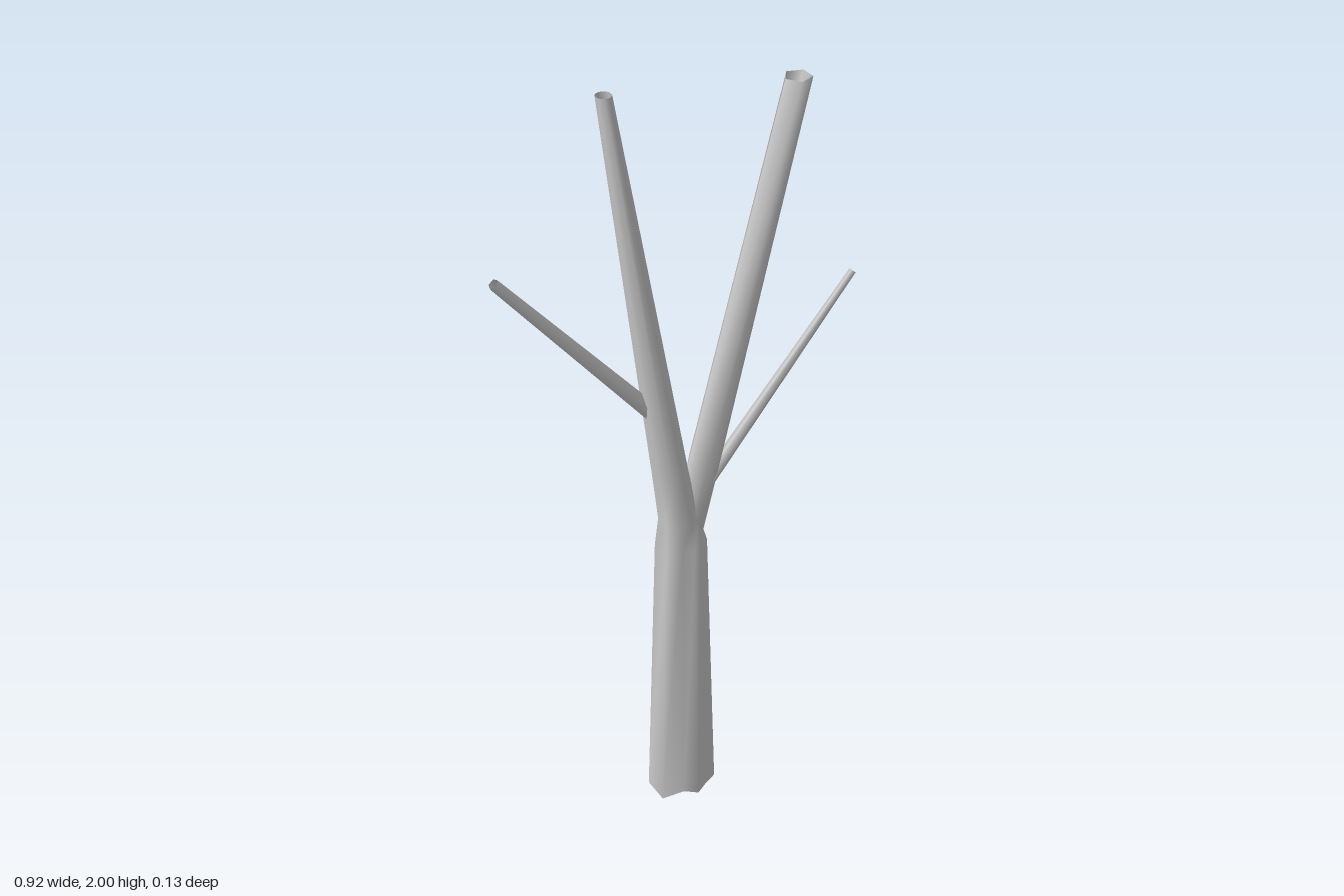
import * as THREE from 'three';

const bark = new THREE.MeshStandardMaterial({ color: 0xcccccc, side: THREE.DoubleSide });

// Skins equal-length rings of points into an open, smooth tube
function loft(name, rings) {
  const n = rings[0].length;
  const index = [];
  for (let j = 0; j < rings.length - 1; j++) {
    for (let i = 0; i < n; i++) {
      const a = j * n + i, b = j * n + (i + 1) % n;
      index.push(a, a + n, b, b, a + n, b + n);
    }
  }
  const geometry = new THREE.BufferGeometry();
  geometry.setAttribute('position', new THREE.Float32BufferAttribute(rings.flat(2), 3));
  geometry.setIndex(index);
  geometry.computeVertexNormals();
  const mesh = new THREE.Mesh(geometry, bark);
  mesh.name = name;
  return mesh;
}

// Level ring of given radius, its points at the given angles
const ring = (x, y, z, r, angles) =>
  angles.map(a => [x + r * Math.cos(a), y, z + r * Math.sin(a)]);

const pentagon = Array.from({ length: 5 }, (_, i) => Math.PI + (i * Math.PI * 2) / 5);

// Thin straight limb with ends square to its direction
function twig(name, from, to, r0, r1) {
  const start = new THREE.Vector3(...from), end = new THREE.Vector3(...to);
  const dir = end.clone().sub(start);
  const geometry = new THREE.CylinderGeometry(r1, r0, dir.length(), 5, 1, true);
  const mesh = new THREE.Mesh(geometry, bark);
  mesh.name = name;
  mesh.position.copy(start).add(end).multiplyScalar(0.5);
  mesh.quaternion.setFromUnitVectors(new THREE.Vector3(0, 1, 0), dir.normalize());
  return mesh;
}

export function createModel() {
  const group = new THREE.Group();
  group.name = 'bareTree';

  // Lobed root outline (x, z)
  const base = [
    [0.065, -0.03], [0.065, 0.03], [0.03, 0.045], [-0.005, 0.065],
    [-0.035, 0.041], [-0.095, 0.035], [-0.095, -0.035], [-0.05, -0.042],
    [-0.03, -0.058], [0, -0.068], [0.025, -0.045],
  ];
  const angles = base.map(([x, z]) => Math.atan2(z, x + 0.018));

  // Trunk, bending at the fork into the left-hand leader
  group.add(loft('trunkAndLeader', [
    base.map(([x, z]) => [x, 0, z]),
    base.map(([x, z]) => [x * 0.73 - 0.003, 0.78, z * 0.75 - 0.003]),
    ring(-0.022, 0.86, -0.004, 0.048, angles),
    ring(-0.044, 1.0, -0.004, 0.043, angles),
    ring(-0.2, 2.0, 0.002, 0.018, angles),
  ]));

  // Second leader, rising from inside the trunk
  group.add(loft('secondLeader', [
    ring(-0.01, 0.75, -0.005, 0.037, pentagon),
    ring(0.045, 1.0, -0.002, 0.041, pentagon),
    ring(0.258, 1.94, 0.03, 0.032, pentagon),
  ]));

  // Side limbs
  group.add(twig('upperSideLimb', [-0.088, 1.18, -0.01], [-0.454, 1.62, -0.034], 0.021, 0.013));
  group.add(twig('lowerSideLimb', [0.05, 0.94, 0.008], [0.455, 1.385, -0.004], 0.018, 0.009));

  return group;
}
